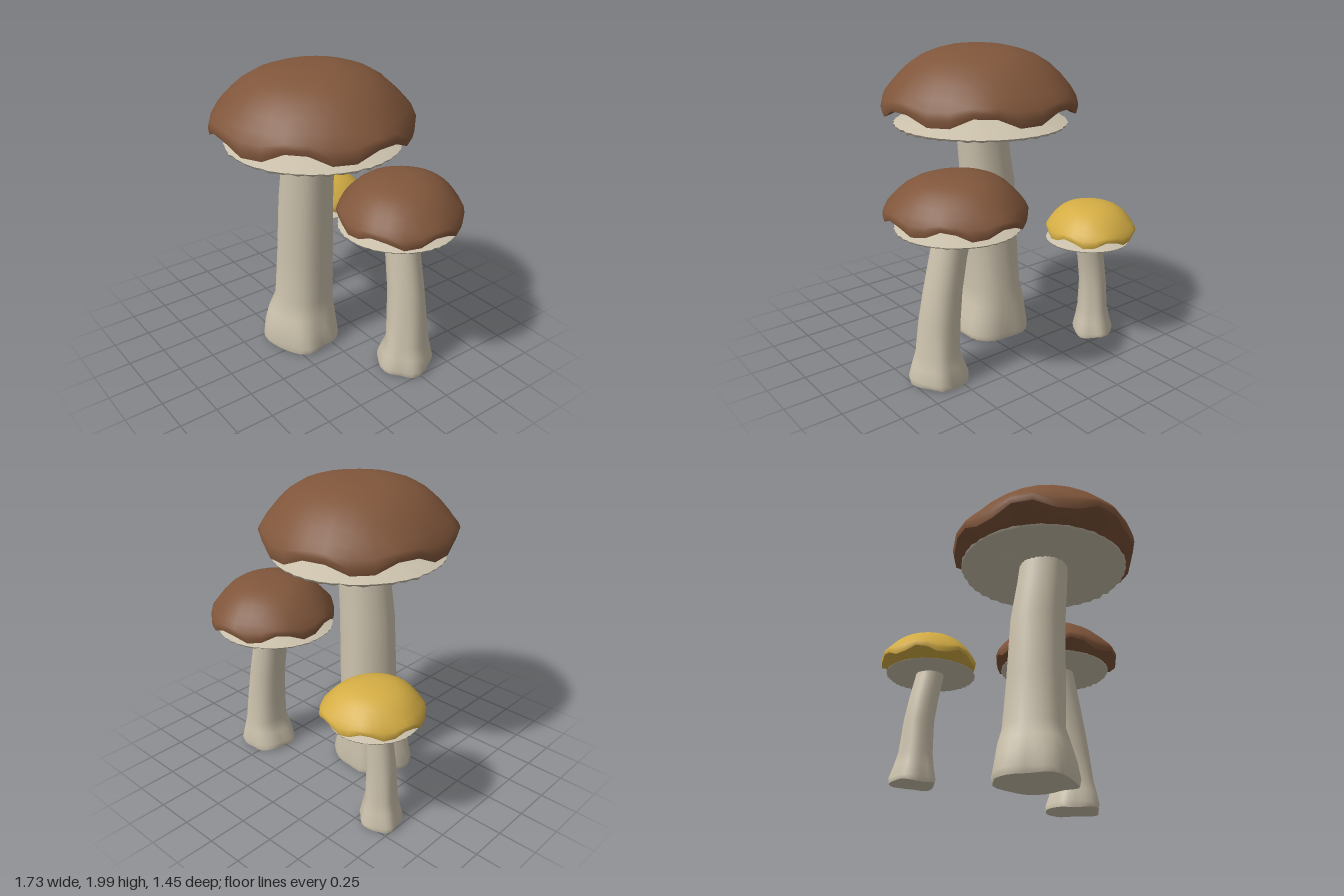
import * as THREE from 'three';

const capBrown = new THREE.MeshStandardMaterial({ name: 'capBrown', color: 0x80563b });
const capYellow = new THREE.MeshStandardMaterial({ name: 'capYellow', color: 0xd4ad44 });
const cream = new THREE.MeshStandardMaterial({ name: 'cream', color: 0xcbc1ac });

// Closed rings lofted from top to bottom; point(row, j, angle) returns [x, y, z]
function loft(name, material, rows, segs, point) {
  const pos = [], index = [];
  rows.forEach((row, i) => {
    for (let j = 0; j < segs; j++) {
      pos.push(...point(row, j, (j / segs) * Math.PI * 2));
      if (i === rows.length - 1) continue;
      const k = (j + 1) % segs;
      const a = i * segs + j, b = a + segs, c = i * segs + k, d = c + segs;
      index.push(a, c, b, c, d, b);
    }
  });
  const geo = new THREE.BufferGeometry();
  geo.setAttribute('position', new THREE.Float32BufferAttribute(pos, 3));
  geo.setIndex(index);
  geo.computeVertexNormals();
  const mesh = new THREE.Mesh(geo, material);
  mesh.name = name;
  return mesh;
}

// Smooth periodic interpolation of radii given at equal angles
function radiusAt(radii, angle) {
  const n = radii.length, t = (angle / (Math.PI * 2)) * n, i = Math.floor(t), f = t - i;
  const [a, b, c, d] = [-1, 0, 1, 2].map((o) => radii[(i + o + n) % n]);
  return b + 0.5 * f * (c - a + f * (2 * a - 5 * b + 4 * c - d + f * (3 * (b - c) + d - a)));
}

// Domed cap with a wavy rim, and its hollowed underside
function cap({ x, z, low, high, radii, phase, material }) {
  const h = high - low;
  // [radius share, height share, wave share]
  const dome = [[0, 1, 0], [0.15, 1, 0], [0.3, 0.985, 0], [0.45, 0.93, 0], [0.58, 0.86, 0], [0.71, 0.74, 0],
    [0.82, 0.59, 0.05], [0.92, 0.42, 0.2], [0.98, 0.29, 0.5], [1, 0.2, 0.8], [0.985, 0.11, 1]];
  const under = [[0.985, 0.11, 1], [0.93, 0.13, 0.95], [0.8, 0.2, 0.5], [0.5, 0.27, 0.1], [0, 0.3, 0]];
  const point = ([r, y, w], j, a) => {
    const R = r * radiusAt(radii, a);
    const wave = 0.1 * h * w * Math.cos(7 * (a - phase));
    return [x + R * Math.cos(a), low + h * y + wave, z + R * Math.sin(a)];
  };
  const group = new THREE.Group();
  group.name = 'cap';
  group.add(loft('capDome', material, dome, 28, point), loft('capUnderside', material, under, 28, point));
  return group;
}

// Shallow cone with a ragged edge and radial folds below
function gills({ x, z, y, r, rise }) {
  let seed = 7;
  const rand = () => (seed = (seed * 16807) % 2147483647) / 2147483647;
  const segs = 80;
  const fold = Array.from({ length: segs }, (_, j) => (j % 2) * 0.45 + rand() * 0.55);
  // [radius share, height share, fold share]
  const top = [[0, 1, 0], [0.18, 0.98, 0], [0.6, 0.66, 0], [0.85, 0.36, 0], [1, 0.16, 0]];
  const below = [[1, 0.16, 0], [0.985, 0, 0.12], [0.8, 0, 0.2], [0.5, 0, 0.18], [0.2, 0, 0.08], [0, 0.05, 0]];
  const point = ([s, h, f], j, a) => {
    const R = r * s * (1 - 0.025 * fold[j]);
    return [x + R * Math.cos(a), y + rise * (h + f * fold[j]), z + R * Math.sin(a)];
  };
  const group = new THREE.Group();
  group.name = 'gills';
  group.add(loft('gillTop', cream, top, segs, point), loft('gillFolds', cream, below, segs, point));
  return group;
}

// Leaning stem with a lobed, flared foot; rows are [y, x, z, x radius, z radius]
function stem(rows, phase) {
  const point = ([y, cx, cz, rx, rz], j, a) => {
    const flare = Math.max(0, 1 - y / 0.42);
    const s = 1 - (0.012 + 0.04 * flare) * (1 + Math.cos(5 * a + phase)) - 0.015 * flare * (1 + Math.cos(8 * a));
    const lift = y < 0.03 ? 0.007 * Math.cos(3 * a + phase) * Math.min(1, rx * 10) : 0;
    return [cx + rx * s * Math.cos(a), y + lift, cz + rz * s * Math.sin(a)];
  };
  const [, fx, fz, frx, frz] = rows[rows.length - 1];
  const foot = [[0.012, fx, fz, frx, frz], [0.022, fx, fz, frx * 0.5, frz * 0.5], [0.02, fx, fz, 0, 0]];
  const group = new THREE.Group();
  group.name = 'stem';
  group.add(loft('stemBody', cream, rows, 30, point), loft('stemFoot', cream, foot, 30, point));
  return group;
}

function mushroom(name, capSpec, gillSpec, stemRows, phase) {
  const group = new THREE.Group();
  group.name = name;
  group.add(cap(capSpec), gills(gillSpec), stem(stemRows, phase));
  return group;
}

export function createModel() {
  const model = new THREE.Group();
  model.name = 'mushroomCluster';

  model.add(mushroom('largeMushroom',
    { x: 0.02, z: 0.08, low: 1.58, high: 2, phase: 1.69, material: capBrown,
      radii: [0.635, 0.6, 0.64, 0.645, 0.625, 0.645, 0.64, 0.62] },
    { x: 0, z: 0.07, y: 1.5, r: 0.565, rise: 0.13 },
    [[1.53, -0.02, 0.09, 0.165, 0.165], [1.38, -0.035, 0.09, 0.172, 0.168], [1.1, -0.07, 0.085, 0.185, 0.178],
      [0.7, -0.085, 0.085, 0.19, 0.19], [0.36, -0.105, 0.085, 0.195, 0.205], [0.25, -0.115, 0.1, 0.235, 0.235],
      [0.15, -0.115, 0.11, 0.265, 0.255], [0.05, -0.115, 0.11, 0.295, 0.265], [0.012, -0.115, 0.11, 0.285, 0.26]], 0.6));

  model.add(mushroom('mediumMushroom',
    { x: 0.43, z: -0.3, low: 1.04, high: 1.33, phase: 1.95, material: capBrown,
      radii: [0.43, 0.465, 0.43, 0.41, 0.41, 0.405, 0.425, 0.395] },
    { x: 0.43, z: -0.275, y: 0.985, r: 0.385, rise: 0.085 },
    [[1.01, 0.455, -0.275, 0.12, 0.108], [0.95, 0.47, -0.273, 0.12, 0.11], [0.8, 0.505, -0.27, 0.118, 0.115],
      [0.6, 0.545, -0.268, 0.122, 0.122], [0.4, 0.572, -0.265, 0.132, 0.132], [0.21, 0.588, -0.262, 0.135, 0.155],
      [0.13, 0.585, -0.26, 0.165, 0.175], [0.05, 0.58, -0.26, 0.195, 0.195], [0.012, 0.575, -0.26, 0.19, 0.19]], 2.2));

  model.add(mushroom('smallMushroom',
    { x: -0.56, z: -0.4, low: 0.76, high: 0.975, phase: 1.5, material: capYellow,
      radii: [0.3, 0.295, 0.31, 0.305, 0.305, 0.3, 0.31, 0.33] },
    { x: -0.55, z: -0.39, y: 0.718, r: 0.28, rise: 0.06 },
    [[0.735, -0.555, -0.39, 0.088, 0.088], [0.68, -0.565, -0.39, 0.088, 0.088], [0.55, -0.593, -0.39, 0.09, 0.09],
      [0.4, -0.615, -0.392, 0.093, 0.093], [0.2, -0.62, -0.395, 0.104, 0.108], [0.12, -0.622, -0.398, 0.122, 0.122],
      [0.04, -0.625, -0.4, 0.145, 0.142], [0.012, -0.625, -0.4, 0.14, 0.138]], 4));

  return model;
}
